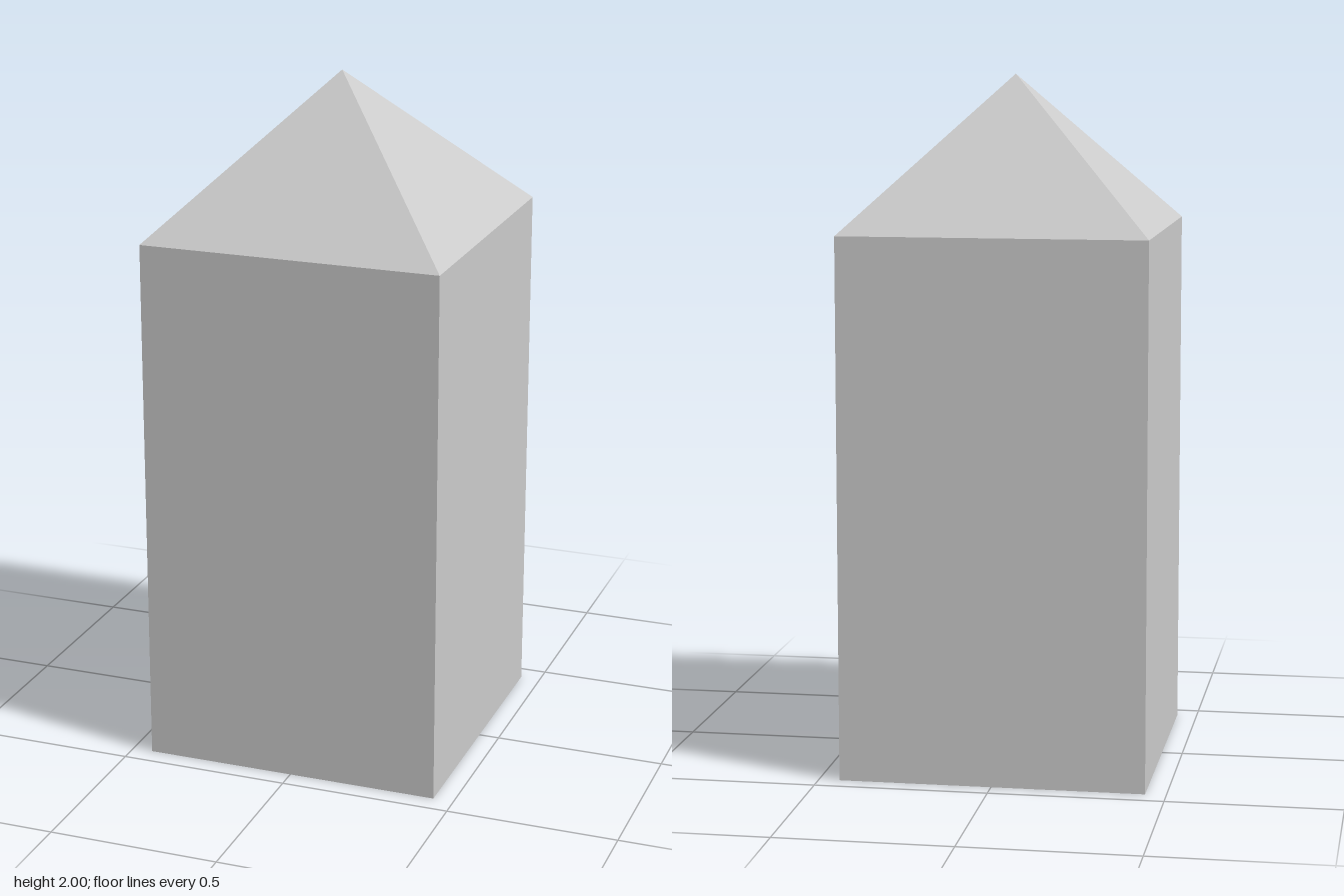
import * as THREE from 'three';

const HALF = 0.44; // half the width of the square plan
const EAVES = 1.56; // height where the walls meet the roof
const TOP = 2;

export function createModel() {
  const group = new THREE.Group();
  const material = new THREE.MeshStandardMaterial({ color: 0xcccccc, flatShading: true });

  // Four-sided prism or pyramid with its sides square to the axes
  const addPart = (name, topHalf, y0, y1, openEnded) => {
    const geometry = new THREE.CylinderGeometry(
      topHalf * Math.SQRT2, HALF * Math.SQRT2, y1 - y0, 4, 1, openEnded);
    geometry.rotateY(Math.PI / 4).translate(0, (y0 + y1) / 2, 0);
    const mesh = new THREE.Mesh(geometry, material);
    mesh.name = name;
    group.add(mesh);
  };

  // Square shaft
  addPart('shaft', HALF, 0, EAVES, false);
  // Pyramid cap, open below where it sits on the shaft
  addPart('pyramidCap', 0, EAVES, TOP, true);

  return group;
}
